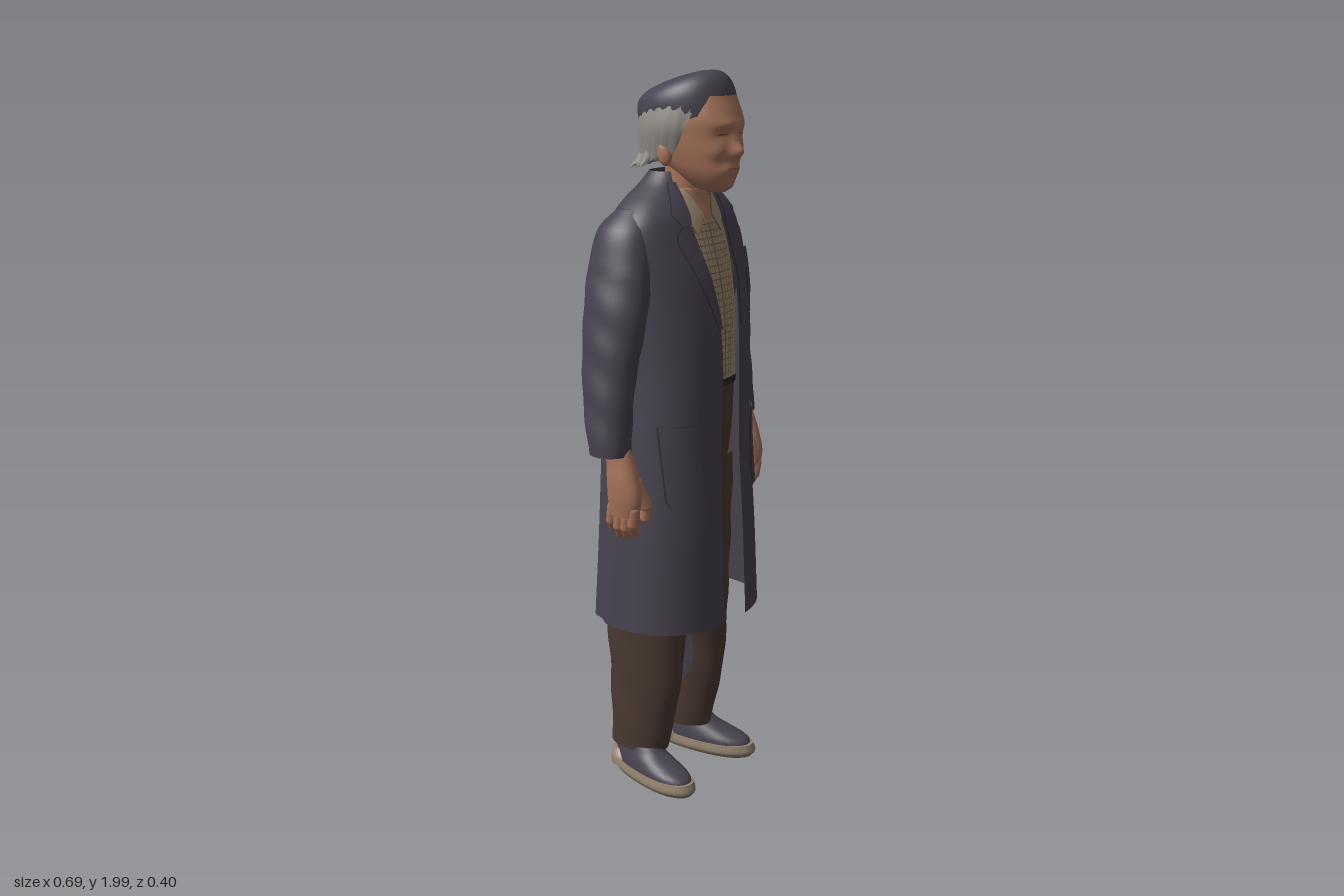
import * as THREE from 'three';

const mat = (name, color) => Object.assign(new THREE.MeshStandardMaterial({ color, side: THREE.DoubleSide }), { name });

// Rows are [y, centreX, centreZ, radiusX, radiusZ]; smooth interpolation by height.
function sample(rows, y) {
  let i = 0;
  while (i < rows.length - 2 && y > rows[i + 1][0]) i++;
  const slope = (j, k) => {
    const a = rows[Math.max(j - 1, 0)], b = rows[Math.min(j + 1, rows.length - 1)];
    return (b[k] - a[k]) / (b[0] - a[0]);
  };
  const h = rows[i + 1][0] - rows[i][0];
  const t = Math.min(1, Math.max(0, (y - rows[i][0]) / h)), t2 = t * t, t3 = t2 * t;
  return rows[i].map((v, k) => k === 0 ? y :
    (2 * t3 - 3 * t2 + 1) * v + (t3 - 2 * t2 + t) * h * slope(i, k) +
    (3 * t2 - 2 * t3) * rows[i + 1][k] + (t3 - t2) * h * slope(i + 1, k));
}

const power = (v, p) => Math.sign(v) * Math.abs(v) ** p;

function ringPoint(rows, y, a, p = 1) {
  const [, cx, cz, rx, rz] = sample(rows, y);
  return [cx + rx * power(Math.sin(a), p), y, cz + rz * power(Math.cos(a), p)];
}

// Grid surface from fn(u, v); closed wraps u, caps fill both ends.
function grid(nu, nv, fn, closed = false, caps = false) {
  const pos = [], idx = [], cols = closed ? nu : nu + 1;
  for (let j = 0; j <= nv; j++) for (let i = 0; i < cols; i++) pos.push(...fn(i / nu, j / nv));
  for (let j = 0; j < nv; j++) for (let i = 0; i < nu; i++) {
    const a = j * cols + i, b = j * cols + (i + 1) % cols;
    idx.push(a, b, b + cols, a, b + cols, a + cols);
  }
  if (caps) for (const v of [0, 1]) {
    const start = pos.length / 3, c = [0, 0, 0];
    for (let i = 0; i < nu; i++) {
      const q = fn(i / nu, v);
      pos.push(...q);
      q.forEach((e, k) => { c[k] += e / nu; });
    }
    pos.push(...c);
    for (let i = 0; i < nu; i++) {
      const a = start + i, b = start + (i + 1) % nu;
      idx.push(...(v ? [a, b, start + nu] : [b, a, start + nu]));
    }
  }
  const g = new THREE.BufferGeometry();
  g.setAttribute('position', new THREE.Float32BufferAttribute(pos, 3));
  g.setIndex(idx);
  g.computeVertexNormals();
  return g;
}

function loft(rows, { n = 32, steps = 24, p = 1, mod = q => q } = {}) {
  const y0 = rows[0][0], y1 = rows[rows.length - 1][0];
  return grid(n, steps, (u, v) => mod(ringPoint(rows, y0 + (y1 - y0) * v, u * Math.PI * 2, p)), true, true);
}

// Thin panel lying on the front of a loft; spec rows are [y, x0, x1], s mirrors it.
function panel(rows, spec, off, { p = 1, s = 1, mod = q => q, steps = 12 } = {}) {
  const y0 = spec[0][0], y1 = spec[spec.length - 1][0];
  return grid(8, steps, (u, v) => {
    const y = y0 + (y1 - y0) * v;
    let i = 0;
    while (i < spec.length - 2 && y > spec[i + 1][0]) i++;
    const t = (y - spec[i][0]) / (spec[i + 1][0] - spec[i][0]);
    const e = [1, 2].map(k => s * (spec[i][k] + (spec[i + 1][k] - spec[i][k]) * t));
    if (s < 0) e.reverse();
    const x = e[0] + (e[1] - e[0]) * u, [, cx, cz, rx, rz] = sample(rows, y);
    const f = Math.max(-0.999, Math.min(0.999, (x - cx) / rx));
    const c = Math.sqrt(1 - Math.abs(f) ** (2 / p)) ** p;
    const q = mod([x, y, cz + rz * c]);
    return [q[0] + off * f, y, q[2] + off];
  });
}

export function createModel() {
  const root = new THREE.Group();
  root.name = 'oldManInLongCoat';
  const M = {
    coat: mat('coat cloth', 0x48434f), seam: mat('coat seam', 0x34303b), skin: mat('skin', 0xa8755c),
    crease: mat('dark skin', 0x7d5645), hair: mat('grey hair', 0x8f8c84), shirt: mat('shirt', 0xa08d72),
    check: mat('shirt check', 0x77664f), trousers: mat('trousers', 0x4b3a32), sole: mat('sole', 0x94836f),
    belt: mat('belt', 0x2c2422),
  };
  const add = (name, geo, m) => {
    const mesh = new THREE.Mesh(geo, m);
    mesh.name = name;
    root.add(mesh);
    return mesh;
  };
  const limb = (name, a, b, r, m) => {
    const A = new THREE.Vector3(...a), B = new THREE.Vector3(...b), d = B.clone().sub(A);
    const mesh = add(name, new THREE.CapsuleGeometry(r, d.length(), 5, 10), m);
    mesh.position.copy(A).add(B).multiplyScalar(0.5);
    mesh.quaternion.setFromUnitVectors(new THREE.Vector3(0, 1, 0), d.normalize());
  };

  // Coat: open-fronted shell with hanging folds at the back
  const coat = [[0.5, 0, 0, 0.25, 0.197], [0.75, 0, 0, 0.236, 0.188], [1, 0, -0.005, 0.218, 0.18],
    [1.2, 0, -0.003, 0.205, 0.178], [1.35, 0, -0.003, 0.207, 0.172], [1.47, 0, -0.008, 0.216, 0.158],
    [1.56, 0, -0.015, 0.226, 0.132], [1.62, 0, -0.018, 0.211, 0.113], [1.67, 0, -0.02, 0.157, 0.088],
    [1.7, 0, -0.02, 0.109, 0.07], [1.735, 0, -0.015, 0.078, 0.052]];
  const gap = [[0.5, 0.05, 0.055], [0.9, 0.044, 0.048], [1.2, 0.034, 0.042], [1.35, 0.043, 0.045],
    [1.56, 0.078, 0.06], [1.67, 0.078, 0.068], [1.735, 0.062, 0.06]];
  const P = 0.85;
  add('coat', grid(96, 60, (u, v) => {
    const y = 0.5 + 1.235 * v, [, gr, gl] = sample(gap, y), rx = sample(coat, y)[3];
    const edge = g => Math.asin(Math.min(0.99, g / rx) ** (1 / P));
    const a = edge(gl) + (Math.PI * 2 - edge(gr) - edge(gl)) * u;
    const q = ringPoint(coat, y, a, P), back = Math.max(0, 0.25 - Math.cos(a));
    const fold = 1 + 0.03 * back * Math.max(0, 1 - v * 1.05) * Math.sin(a * 13);
    return [q[0] * fold, y, q[2] * fold];
  }), M.coat);
  for (const s of [1, -1]) {
    const g = y => sample(gap, y)[s > 0 ? 2 : 1];
    const on = (name, spec, off, m) => add(name, panel(coat, spec, off, { p: P, s }), m);
    const bordered = (name, spec, off = 0.007) => {
      on(name + 'Edge', spec.map(([y, a, b]) => [y, a - 0.001, b + 0.0025]), off - 0.003, M.seam);
      on(name, spec, off, M.coat);
    };
    bordered('lapel', [[1.33, g(1.33), 0.052], [1.45, g(1.45), 0.098], [1.57, g(1.57), 0.142], [1.6, g(1.6), 0.112]], 0.009);
    bordered('collar', [[1.605, g(1.605), 0.112], [1.63, 0.074, 0.132], [1.67, 0.07, 0.108], [1.71, 0.064, 0.08]], 0.01);
    bordered('hipPocket', [[0.86, 0.125, 0.19], [0.88, 0.115, 0.197], [1.08, 0.115, 0.197]]);
    if (s > 0) bordered('breastPocket', [[1.4, 0.115, 0.175], [1.52, 0.115, 0.175]]);

    // Sleeves, sunk into the shoulder at the top
    const sleeve = [[1.015, 0.292, -0.008, 0.056, 0.056], [1.1, 0.285, -0.018, 0.057, 0.066],
      [1.2, 0.27, -0.028, 0.06, 0.076], [1.4, 0.233, -0.03, 0.066, 0.095], [1.53, 0.203, -0.035, 0.064, 0.089],
      [1.6, 0.184, -0.035, 0.058, 0.074], [1.645, 0.15, -0.03, 0.045, 0.045]];
    const mirror = rows => rows.map(([y, x, ...r]) => [y, x * s, ...r]);
    add('sleeve', loft(mirror(sleeve), { steps: 40, mod: ([x, y, z]) =>
      [x + 0.002 * s * Math.sin(y * 55 + z * 30) * (y < 1.5), y, z] }), M.coat);

    // Hands
    add('hand', loft(mirror([[0.85, 0.288, 0.033, 0.024, 0.045], [0.9, 0.288, 0.036, 0.032, 0.052],
      [0.95, 0.286, 0.03, 0.036, 0.048], [1.0, 0.286, 0.02, 0.032, 0.04], [1.06, 0.286, 0.0, 0.032, 0.034]])), M.skin);
    for (let k = 0; k < 4; k++) {
      const z = 0.07 - 0.024 * k, drop = 0.012 * (k === 1 || k === 2);
      limb('finger', [s * 0.292, 0.87, z], [s * 0.29, 0.83 - drop, z - 0.006], 0.0155, M.skin);
      limb('fingertip', [s * 0.29, 0.83 - drop, z - 0.006], [s * 0.272, 0.805 - drop, z - 0.014], 0.0145, M.skin);
    }
    limb('thumb', [s * 0.272, 0.94, 0.06], [s * 0.25, 0.875, 0.076], 0.018, M.skin);
    limb('thumbTip', [s * 0.25, 0.875, 0.076], [s * 0.249, 0.84, 0.074], 0.014, M.skin);

    // Trouser legs with soft creases and a blue-grey patch on the inner side
    const leg = mirror([[0.09, 0.106, -0.058, 0.062, 0.09], [0.15, 0.106, -0.052, 0.065, 0.098],
      [0.3, 0.106, -0.038, 0.071, 0.115], [0.5, 0.1, -0.036, 0.088, 0.126], [0.75, 0.09, -0.02, 0.09, 0.125],
      [0.95, 0.085, -0.01, 0.085, 0.125]]);
    const crease = ([x, y, z]) => [x + 0.0015 * Math.sin(y * 36 + z * 30), y, z + 0.0015 * Math.sin(y * 40 + x * 40)];
    add('trouserLeg', loft(leg, { steps: 50, mod: crease }), M.trousers);
    add('innerLegPatch', grid(10, 14, (u, v) => {
      const y = 0.22 + 0.24 * v, a = -s * Math.PI / 2 + (u - 0.5) * 1.1 * Math.sin(Math.PI * (0.1 + 0.8 * v));
      const [x, , z] = crease(ringPoint(leg, y, a));
      return [x - s * 0.0025, y, z];
    }), M.coat);

    // Shoes, toes turned out
    const shoe = new THREE.Group();
    shoe.name = 'shoe';
    shoe.position.x = s * 0.13;
    shoe.rotation.y = s * 0.18;
    const egg = ([x, y, z]) => [x * (1 + 1.1 * Math.min(z, 0.1)), y, z];
    const part = (name, rows, m) => {
      const mesh = new THREE.Mesh(loft(rows, { p: 0.9, steps: 16, mod: egg }), m);
      mesh.name = name;
      shoe.add(mesh);
    };
    part('sole', [[0, 0, 0.008, 0.05, 0.148], [0.014, 0, 0.008, 0.058, 0.158], [0.038, 0, 0.006, 0.056, 0.153]], M.sole);
    part('upper', [[0.025, 0, 0.006, 0.054, 0.148], [0.048, 0, 0, 0.053, 0.142], [0.066, 0, -0.02, 0.05, 0.117],
      [0.085, 0, -0.043, 0.046, 0.09], [0.105, 0, -0.055, 0.042, 0.075]], M.coat);
    part('heelCounter', [[0.02, 0, -0.1, 0.056, 0.048], [0.045, 0, -0.107, 0.054, 0.04], [0.066, 0, -0.115, 0.04, 0.027]], M.sole);
    root.add(shoe);
  }

  // Hips, belt and shirt
  const hips = [[0.58, 0, -0.025, 0.03, 0.07], [0.84, 0, -0.015, 0.15, 0.12], [1, 0, -0.005, 0.168, 0.14], [1.185, 0, 0, 0.165, 0.15]];
  add('trouserHips', loft(hips), M.trousers);
  add('belt', panel(hips, [[1.165, -0.07, 0.07], [1.185, -0.07, 0.07]], 0.006), M.belt);
  const shirt = [[1.17, 0, 0, 0.16, 0.154], [1.35, 0, 0, 0.165, 0.15], [1.47, 0, -0.008, 0.17, 0.14],
    [1.56, 0, -0.01, 0.165, 0.116], [1.62, 0, -0.008, 0.135, 0.098], [1.66, 0, 0, 0.1, 0.076], [1.69, 0, 0.005, 0.072, 0.065]];
  add('shirt', loft(shirt), M.shirt);
  for (let i = 0; i < 24; i++) {
    const y = 1.2 + i * 0.018, w = Math.min(0.085, 0.04 + Math.max(0, y - 1.3) * 0.18);
    add('shirtCheckRow', panel(shirt, [[y, -w, w], [y + 0.003, -w, w]], 0.0015, { steps: 1 }), M.check);
  }
  for (let i = -4; i <= 4; i++) {
    const x = i * 0.016;
    add('shirtCheckColumn', panel(shirt, [[1.19, x, x + 0.0025], [1.61, x, x + 0.0025]], 0.0015), M.check);
  }
  add('shirtPlacket', panel(shirt, [[1.19, -0.002, 0.003], [1.6, -0.002, 0.003]], 0.004), M.check);
  add('openNeck', panel(shirt, [[1.595, -0.001, 0.001], [1.688, -0.05, 0.05]], 0.004), M.skin);
  for (const s of [1, -1]) {
    add('shirtCollarEdge', panel(shirt, [[1.573, 0.048, 0.054], [1.62, 0.013, 0.076], [1.69, 0.046, 0.07]], 0.006, { s }), M.check);
    add('shirtCollar', panel(shirt, [[1.578, 0.049, 0.053], [1.622, 0.016, 0.074], [1.69, 0.049, 0.068]], 0.009, { s }), M.shirt);
  }

  // Neck and head, with the face raised and sunk by soft bumps
  add('neck', loft([[1.58, 0, 0, 0.06, 0.055], [1.67, 0.01, 0.015, 0.055, 0.055], [1.78, 0.02, 0.02, 0.065, 0.065]]), M.skin);
  const head = [[1.683, 0.01, 0.115, 0.016, 0.025], [1.695, 0.011, 0.1, 0.036, 0.053], [1.73, 0.014, 0.08, 0.064, 0.088],
    [1.77, 0.018, 0.055, 0.083, 0.115], [1.82, 0.02, 0.04, 0.095, 0.131], [1.87, 0.02, 0.037, 0.099, 0.136], [1.93, 0.02, 0.03, 0.095, 0.12]];
  const face = ([x, y, z]) => {
    if (z < 0.07) return [x, y, z];
    const dx = Math.abs(x - 0.014);
    const g = (cx, cy, sx, sy) => Math.exp(-(((dx - cx) / sx) ** 2) - ((y - cy) / sy) ** 2);
    return [x, y, z + 0.025 * g(0, 1.788, 0.018, 0.02) + 0.012 * g(0, 1.82, 0.014, 0.03) + 0.005 * g(0.03, 1.858, 0.03, 0.014)
      - 0.005 * g(0.038, 1.833, 0.02, 0.016) + 0.006 * g(0.055, 1.79, 0.022, 0.022) - 0.003 * g(0.04, 1.76, 0.016, 0.02)
      + 0.006 * g(0, 1.745, 0.03, 0.014) + 0.007 * g(0, 1.7, 0.025, 0.014)];
  };
  const FP = 0.86;
  add('head', loft(head, { n: 80, steps: 70, p: FP, mod: face }), M.skin);
  const facePanel = (name, spec, m) => add(name, panel(head, spec, 0.002, { p: FP, mod: face, steps: 4 }), m);
  facePanel('mouth', [[1.744, -0.01, 0.036], [1.747, -0.012, 0.038]], M.crease);
  for (const s of [1, -1]) {
    const e = 0.014 + s * 0.038;
    facePanel('eye', [[1.831, e - 0.01, e + 0.01], [1.833, e - 0.014, e + 0.014], [1.8355, e - 0.01, e + 0.01]], M.crease);
    const ear = add('ear', new THREE.SphereGeometry(1, 18, 14), M.skin);
    ear.scale.set(0.013, 0.034, 0.02);
    ear.position.set(0.018 + s * 0.108, 1.785, 0.022);
    ear.rotation.set(-0.15, s * -0.35, 0);
  }

  // Hair around the back and sides, with sideburns and ragged ends
  const hair = [[1.735, 0.014, -0.012, 0.098, 0.1], [1.79, 0.014, 0.002, 0.112, 0.113], [1.85, 0.014, 0.012, 0.122, 0.124], [1.92, 0.016, 0.02, 0.112, 0.126]];
  const hairLow = a => 1.745 + 0.045 * Math.max(0, Math.cos(a) + 0.35) ** 0.5;
  add('hair', grid(60, 14, (u, v) => {
    const front = 1.12 - 0.3 * v, a = front + u * (Math.PI - front) * 2;
    const y = hairLow(a) + (1.905 - hairLow(a)) * v, q = ringPoint(hair, y, a);
    const r = 1 + 0.012 * Math.sin(a * 26);
    return [0.014 + (q[0] - 0.014) * r, y, q[2] * r];
  }), M.hair);
  for (let i = 0; i < 15; i++) {
    const a = 1.9 + i * (Math.PI * 2 - 3.8) / 14, [x, y, z] = ringPoint(hair, hairLow(a) + 0.016, a);
    const tip = add('hairTip', new THREE.ConeGeometry(0.022, 0.052 + 0.014 * Math.sin(i * 2.4), 6), M.hair);
    const d = new THREE.Vector3(Math.sin(a), -0.75 + 0.25 * Math.sin(i * 1.7), Math.cos(a)).normalize();
    tip.quaternion.setFromUnitVectors(new THREE.Vector3(0, 1, 0), d);
    tip.position.set(x, y, z).addScaledVector(d, 0.006);
  }

  // Cap, tipped back
  const cap = new THREE.Group();
  cap.name = 'cap';
  cap.position.set(0, 1.868, 0.024);
  cap.rotation.x = -0.31;
  const capPart = (name, rows, m) => {
    const mesh = new THREE.Mesh(loft(rows, { n: 48 }), m);
    mesh.name = name;
    cap.add(mesh);
  };
  capPart('capCrown', [[-0.015, 0.02, 0, 0.114, 0.134], [0.02, 0.02, 0, 0.12, 0.138], [0.055, 0.02, 0, 0.118, 0.137],
    [0.082, 0.02, 0, 0.102, 0.127], [0.1, 0.02, 0.004, 0.07, 0.098], [0.108, 0.02, 0.01, 0.025, 0.035]], M.coat);
  root.add(cap);
  return root;
}
